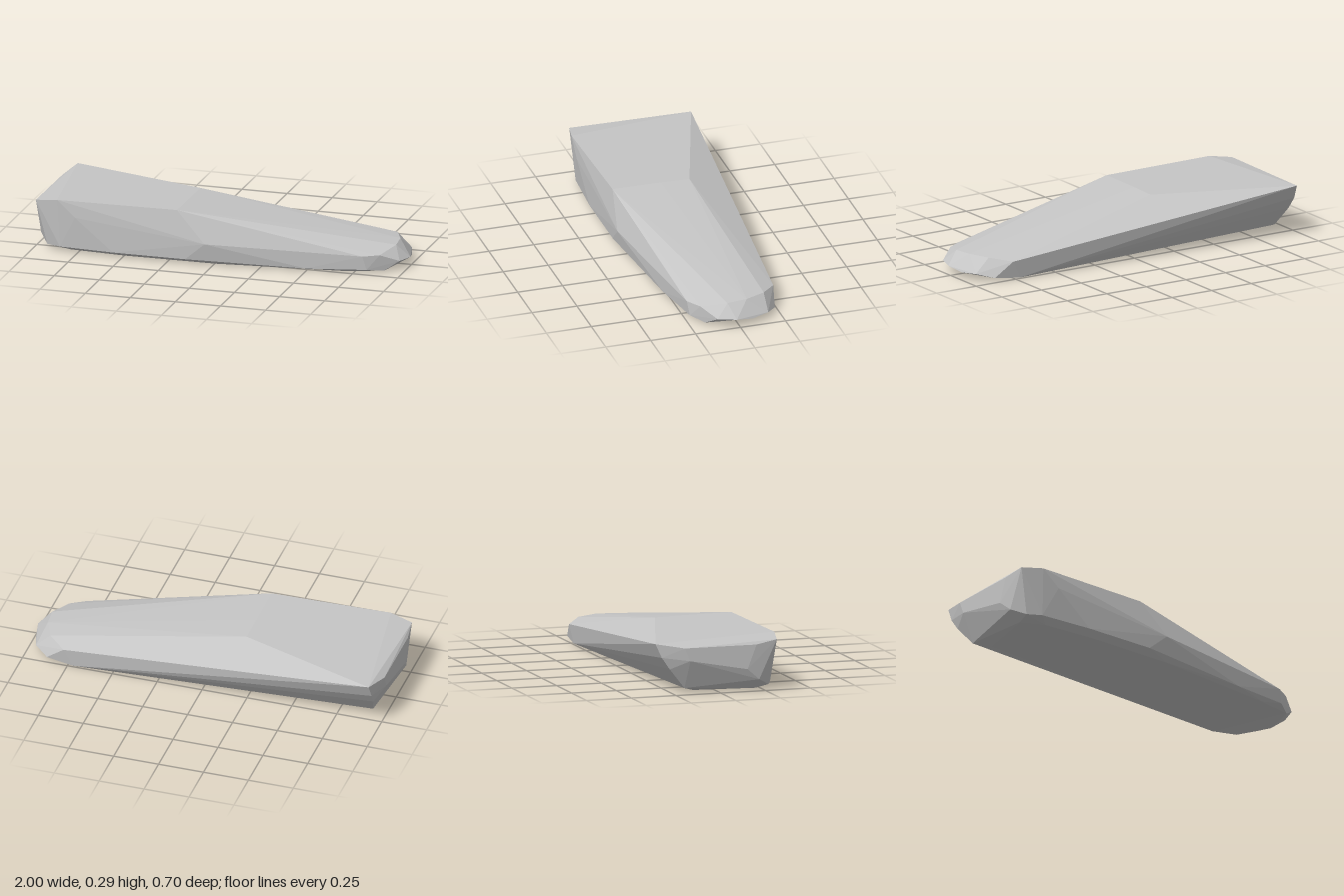
import * as THREE from 'three';
import { ConvexGeometry } from 'three/addons/geometries/ConvexGeometry.js';

// Faceted stone slab: the convex hull of a few rings of corner points.
export function createModel() {
  const stone = new THREE.MeshStandardMaterial({ color: 0xc5c5c5 });
  stone.name = 'stoneGrey';

  // gently sloping upper face
  const top = [
    [-0.96, 0.275, -0.352], [-1, 0.25, -0.2], [-1, 0.25, 0.2], [-0.985, 0.27, 0.318],
    [-0.86, 0.289, 0.345], [-0.2, 0.289, 0.328], [-0.2, 0.287, 0.06], [-0.2, 0.283, -0.1],
  ];
  // upper edge of the tapered nose
  const noseTop = [
    [0.77, 0.1, -0.255], [0.87, 0.118, -0.17], [0.92, 0.121, -0.06],
    [0.93, 0.118, 0.05], [0.88, 0.095, 0.185], [0.8, 0.095, 0.235],
  ];
  // lower edge of the nose
  const noseTip = [
    [0.87, 0.02, -0.232], [0.95, 0.04, -0.17], [0.98, 0.032, -0.075],
    [1, 0.048, 0.02], [0.97, 0.052, 0.118], [0.9, 0.006, 0.165], [0.82, 0.02, 0.225],
  ];
  // blunt end, with its bulging back corner
  const end = [
    [-0.965, 0.2, -0.318], [-0.96, 0.135, -0.272], [-0.93, 0.025, -0.18],
    [-1, 0.18, -0.17], [-1, 0.12, 0.15], [-0.985, 0.06, 0.22], [-0.93, 0.022, 0.29],
  ];
  // long front side
  const front = [
    [-0.76, 0.2, 0.348], [-0.85, 0.025, 0.325], [-0.55, 0.025, 0.344],
    [-0.15, 0.025, 0.344], [-0.04, 0.12, 0.352], [0.5, 0.012, 0.272],
  ];
  // flat underside
  const base = [
    [-0.86, 0, -0.11], [-0.92, 0.004, 0.22], [-0.8, 0, 0.28], [-0.5, 0, 0.3],
    [0, 0, 0.295], [0.7, 0, 0.215], [0.88, 0.004, 0.15], [0.72, 0.003, -0.245],
  ];

  const points = [...top, ...noseTop, ...noseTip, ...end, ...front, ...base]
    .map((p) => new THREE.Vector3(...p));
  const slab = new THREE.Mesh(new ConvexGeometry(points), stone);
  slab.name = 'stoneSlab';

  const group = new THREE.Group();
  group.name = 'rock';
  group.add(slab);
  return group;
}
